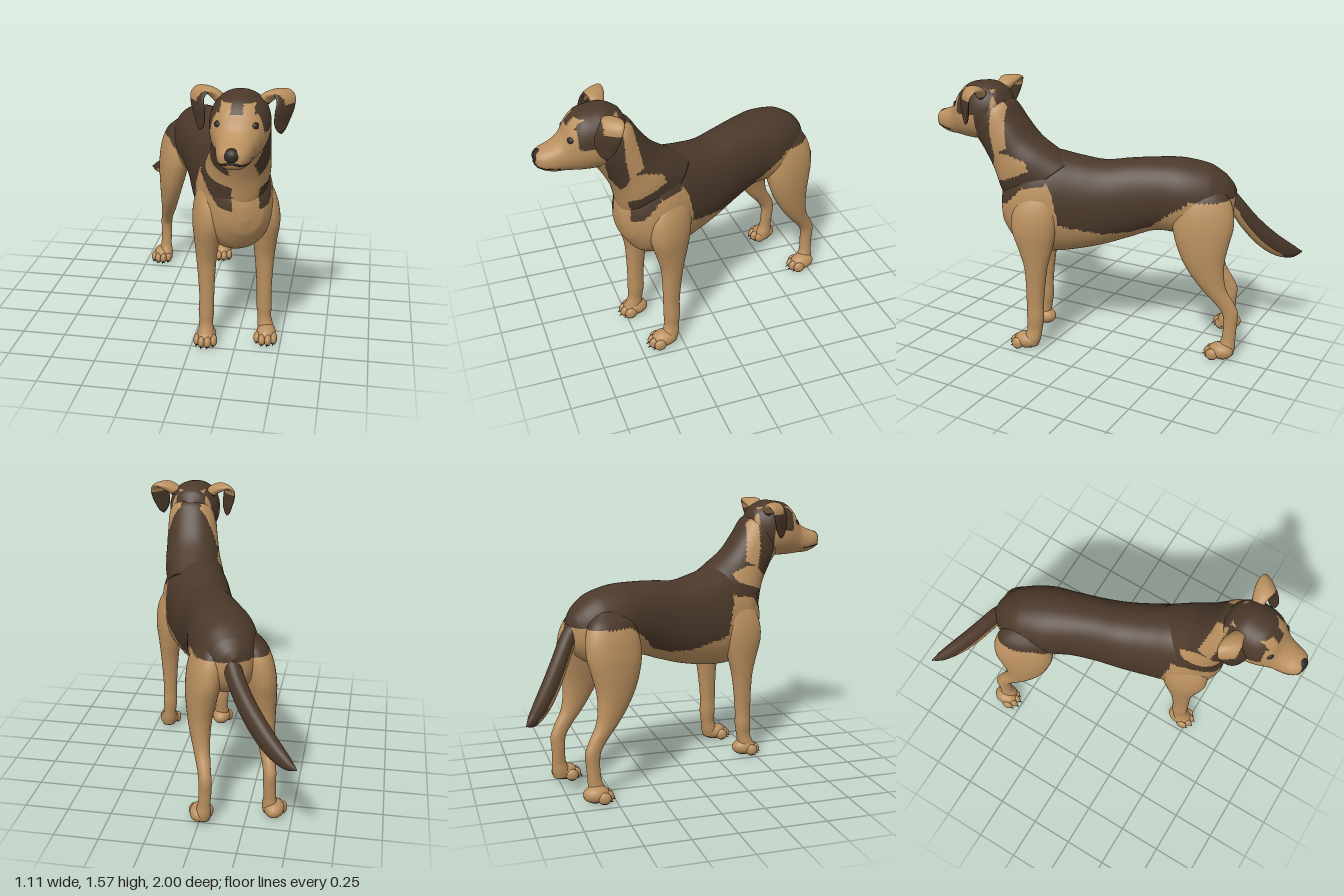
import * as THREE from 'three';

const V3 = (x, y, z) => new THREE.Vector3(x, y, z);
const mat = (name, color) => Object.assign(new THREE.MeshStandardMaterial({ color }), { name });

// Body axes: the trunk stands turned away from the straight-ahead head
const SIDE = V3(0.93, 0, -0.37), FORE = V3(0.37, 0, 0.93), UP = V3(0, 1, 0), X = V3(1, 0, 0);
const bodyPoint = (w, y, f) => [0.09 + 0.93 * w + 0.37 * f, y, -0.37 * w + 0.93 * f];
const HEAD_X = 0.29;

// Loft of rounded sections through rings [x, y, z, halfU, halfV]
function loft(rings, U, V, around, along) {
  const path = new THREE.CatmullRomCurve3(rings.map(r => V3(r[0], r[1], r[2])));
  const size = new THREE.CatmullRomCurve3(rings.map(r => V3(r[3], r[4], 0)), false, 'catmullrom', 0.5);
  const pos = [], idx = [];
  const run = path.getPoint(1).sub(path.getPoint(0));
  const flip = V && V3().crossVectors(U, V).dot(run) < 0 ? -1 : 1;
  const round = c => Math.sign(c) * Math.abs(c) ** 0.92;
  for (let i = 0; i <= along; i++) {
    const t = i / along, c = path.getPoint(t), s = size.getPoint(t);
    const v = V ? V.clone().multiplyScalar(flip) : path.getTangent(t).cross(U).normalize();
    for (let j = 0; j < around; j++) {
      const th = j / around * Math.PI * 2;
      const p = c.clone().addScaledVector(U, Math.max(s.x, 0.002) * round(Math.cos(th)))
        .addScaledVector(v, Math.max(s.y, 0.002) * round(Math.sin(th)));
      pos.push(p.x, p.y, p.z);
    }
  }
  const at = (i, j) => i * around + j % around;
  for (let i = 0; i < along; i++) for (let j = 0; j < around; j++) {
    idx.push(at(i, j), at(i, j + 1), at(i + 1, j + 1), at(i, j), at(i + 1, j + 1), at(i + 1, j));
  }
  const first = pos.length / 3;
  pos.push(...path.getPoint(0).toArray(), ...path.getPoint(1).toArray());
  for (let j = 0; j < around; j++) {
    idx.push(first, at(0, j + 1), at(0, j), first + 1, at(along, j), at(along, j + 1));
  }
  const g = new THREE.BufferGeometry();
  g.setAttribute('position', new THREE.Float32BufferAttribute(pos, 3));
  g.setIndex(idx);
  g.computeVertexNormals();
  return g;
}

// Sorts the faces into two groups: 0 where the rule is false, 1 where true
function paint(g, rule) {
  const p = g.attributes.position, ix = g.index.array, sets = [[], []];
  const a = V3(), b = V3(), c = V3();
  for (let i = 0; i < ix.length; i += 3) {
    [a, b, c].forEach((v, k) => v.fromBufferAttribute(p, ix[i + k]));
    const mid = a.clone().add(b).add(c).divideScalar(3);
    const n = b.clone().sub(a).cross(c.clone().sub(a)).normalize();
    sets[rule(mid, n) ? 1 : 0].push(ix[i], ix[i + 1], ix[i + 2]);
  }
  g.setIndex([...sets[0], ...sets[1]]);
  g.clearGroups();
  g.addGroup(0, sets[0].length, 0);
  g.addGroup(sets[0].length, sets[1].length, 1);
  return g;
}

function inside(poly, x, y) {
  let hit = false;
  for (let i = 0, j = poly.length - 1; i < poly.length; j = i++) {
    const [ax, ay] = poly[i], [bx, by] = poly[j];
    if ((ay > y) !== (by > y) && x < (bx - ax) * (y - ay) / (by - ay) + ax) hit = !hit;
  }
  return hit;
}

// Coat pattern in side profile: dark saddle with tan shoulder patch and neck stripe
const SADDLE = [[-0.95, 0.96], [-0.5, 0.95], [-0.38, 0.86], [-0.3, 0.78], [-0.2, 0.745], [-0.05, 0.735],
  [0.1, 0.77], [0.18, 0.79], [0.2, 0.92], [0.23, 1.03], [0.37, 1.0], [0.46, 0.9], [0.53, 0.87],
  [0.57, 0.92], [0.6, 1.0], [0.62, 1.15], [0.66, 1.3], [0.68, 1.6], [-0.95, 1.6]];
const PATCH = [[0.33, 1.1], [0.34, 1.15], [0.45, 1.19], [0.52, 1.19], [0.56, 1.08], [0.58, 0.95], [0.5, 1.02]];
const STRIPE = [[0.53, 1.18], [0.45, 1.22], [0.48, 1.4], [0.49, 1.49], [0.55, 1.49], [0.55, 1.3]];
function coat(p) {
  const f = (p.x - 0.09) * 0.37 + p.z * 0.93, w = (p.x - 0.09) * 0.93 - p.z * 0.37;
  const k = THREE.MathUtils.smoothstep(p.y, 1.0, 1.2);
  const q = THREE.MathUtils.lerp(0.93 * f - 0.05, p.z, k);
  const d = Math.abs(THREE.MathUtils.lerp(w, p.x - 0.28, k));
  if (q > 0.46 && d < 0.075 && !(p.y > 1.35)) return false;
  return inside(SADDLE, q, p.y) && !(d > 0.06 && (inside(PATCH, q, p.y) || inside(STRIPE, q, p.y)));
}

function headCoat(p) {
  const d = Math.abs(p.x - HEAD_X);
  if (p.z < 0.56) return d < 0.09;
  const brow = d > 0.03 && d < 0.085 ? 1.53 : 1.485;
  return (p.z < 0.83 && p.y > brow) || (d > 0.105 && p.y > 1.39 && p.z < 0.78) || (p.z < 0.65 && d > 0.08);
}

export function createModel() {
  const dog = new THREE.Group();
  dog.name = 'dog';
  const tan = mat('tan fur', 0xba905f), dark = mat('dark brown fur', 0x4b392a), black = mat('nose black', 0x2f2723);
  const add = (name, g, m, parent = dog) => {
    const mesh = new THREE.Mesh(g, m);
    mesh.name = name;
    parent.add(mesh);
    return mesh;
  };
  const fur = [tan, dark];

  // Trunk: [forward, top, bottom, half width]
  const trunk = [[-0.755, 0.98, 0.9, 0.02], [-0.735, 1.02, 0.83, 0.075], [-0.69, 1.07, 0.77, 0.125], [-0.6, 1.125, 0.72, 0.17],
    [-0.45, 1.155, 0.72, 0.19], [-0.3, 1.155, 0.73, 0.175], [-0.15, 1.145, 0.68, 0.17], [0, 1.13, 0.63, 0.18],
    [0.15, 1.155, 0.595, 0.192], [0.3, 1.185, 0.575, 0.205], [0.42, 1.16, 0.585, 0.2], [0.52, 1.08, 0.64, 0.165],
    [0.585, 0.98, 0.74, 0.1], [0.605, 0.9, 0.82, 0.02]]
    .map(([f, top, bot, a]) => [...bodyPoint(0, (top + bot) / 2, f), a, (top - bot) / 2]);
  add('trunk', paint(loft(trunk, SIDE, UP, 72, 150), coat), fur);

  // Neck
  const neck = [[0.21, 0.96, 0.34, 0.185, 0.26], [0.245, 1.07, 0.415, 0.18, 0.204], [0.265, 1.165, 0.475, 0.165, 0.163],
    [0.28, 1.27, 0.54, 0.155, 0.149], [0.29, 1.36, 0.6, 0.145, 0.148], [0.29, 1.42, 0.64, 0.12, 0.11]];
  add('neck', paint(loft(neck, X, V3(0, -0.66, 0.75), 72, 80), coat), fur);

  // Head: [z, top, bottom, half width]
  const head = [[0.5, 1.46, 1.36, 0.04], [0.54, 1.525, 1.28, 0.11], [0.62, 1.565, 1.23, 0.15], [0.7, 1.56, 1.225, 0.153],
    [0.76, 1.545, 1.225, 0.14], [0.81, 1.5, 1.228, 0.117], [0.85, 1.43, 1.232, 0.098], [0.9, 1.39, 1.235, 0.088],
    [0.95, 1.37, 1.25, 0.075], [0.98, 1.355, 1.27, 0.055], [0.99, 1.34, 1.29, 0.02]]
    .map(([z, top, bot, a]) => [HEAD_X, (top + bot) / 2, z, a, (top - bot) / 2]);
  add('head', paint(loft(head, X, UP, 72, 90), headCoat), fur);

  const ball = (rx, ry, rz, x, y, z) => new THREE.SphereGeometry(1, 24, 18).scale(rx, ry, rz).translate(x, y, z);
  add('nose', ball(0.044, 0.04, 0.036, HEAD_X, 1.325, 0.964), black);
  const lips = [[-0.077, 1.27, 0.87], [-0.067, 1.28, 0.94], [-0.042, 1.285, 0.978], [0, 1.295, 0.991],
    [0.042, 1.285, 0.978], [0.067, 1.28, 0.94], [0.077, 1.27, 0.87]].map(([x, y, z]) => V3(HEAD_X + x, y, z));
  add('mouthLine', new THREE.TubeGeometry(new THREE.CatmullRomCurve3(lips), 40, 0.006, 8), black);

  for (const s of [-1, 1]) {
    const tag = s > 0 ? 'left' : 'right';
    add(tag + 'Eye', ball(0.024, 0.021, 0.024, HEAD_X + s * 0.086, 1.43, 0.805), black);

    // Folded ear: rises outward, then the flap drops forward
    const ear = [[0.1, 1.5, 0.62, 0.045, 0.03], [0.155, 1.54, 0.612, 0.058, 0.024], [0.2, 1.55, 0.62, 0.064, 0.017],
      [0.222, 1.525, 0.637, 0.068, 0.014], [0.218, 1.47, 0.655, 0.07, 0.013], [0.207, 1.41, 0.663, 0.055, 0.011],
      [0.205, 1.37, 0.665, 0.03, 0.009], [0.205, 1.352, 0.665, 0.004, 0.004]]
      .map(([x, ...r]) => [HEAD_X + s * x, ...r]);
    const flap = p => p.y < 1.5 || p.z > 0.67;
    add(tag + 'Ear', paint(loft(ear, V3(s * 0.6, 0, -0.8), null, 32, 50), flap), fur);

    // Legs: [height, sideways, forward, half width, half depth]
    const leg = (rows, shift) => paint(loft(rows.map(([y, w, f, a, b]) =>
      [...bodyPoint(s * w + shift, y, f), a, b]), SIDE, FORE, 40, 90), coat);
    add(tag + 'FrontLeg', leg([[0.99, 0.12, 0.35, 0.03, 0.05], [0.95, 0.135, 0.36, 0.06, 0.1], [0.86, 0.155, 0.38, 0.075, 0.13],
      [0.75, 0.165, 0.39, 0.078, 0.128], [0.62, 0.167, 0.385, 0.065, 0.095], [0.52, 0.168, 0.385, 0.055, 0.068],
      [0.4, 0.168, 0.39, 0.046, 0.056], [0.28, 0.168, 0.395, 0.041, 0.05], [0.2, 0.17, 0.395, 0.043, 0.05],
      [0.13, 0.172, 0.4, 0.038, 0.045], [0.07, 0.176, 0.415, 0.045, 0.05], [0.025, 0.178, 0.425, 0.04, 0.045]], 0), fur);
    add(tag + 'HindLeg', leg([[1.04, 0.09, -0.56, 0.04, 0.07], [0.98, 0.115, -0.565, 0.075, 0.135], [0.9, 0.135, -0.57, 0.088, 0.165],
      [0.8, 0.152, -0.57, 0.09, 0.172], [0.7, 0.165, -0.57, 0.082, 0.15], [0.6, 0.175, -0.58, 0.068, 0.12],
      [0.5, 0.18, -0.61, 0.055, 0.09], [0.42, 0.18, -0.65, 0.045, 0.068], [0.34, 0.18, -0.71, 0.037, 0.055],
      [0.28, 0.18, -0.743, 0.035, 0.046], [0.2, 0.18, -0.745, 0.034, 0.039], [0.12, 0.185, -0.74, 0.034, 0.04],
      [0.07, 0.188, -0.73, 0.042, 0.05], [0.025, 0.19, -0.725, 0.04, 0.045]], -0.02), fur);
  }

  // Paws with toes, claws and dark soles
  const sole = (p, n) => p.y < 0.02 && n.y < -0.5;
  const paws = { leftFrontPaw: [0.415, 0.365], rightFrontPaw: [0.08, 0.445], leftHindPaw: [0.0, -0.71], rightHindPaw: [-0.4, -0.605] };
  for (const [name, [x, z]] of Object.entries(paws)) {
    const paw = new THREE.Group();
    paw.name = name;
    paw.position.set(x, 0, z);
    dog.add(paw);
    add('pawBase', paint(ball(0.056, 0.05, 0.075, 0, 0.05, -0.005), sole), fur, paw);
    for (const [dx, dz] of [[-0.047, 0.033], [-0.017, 0.056], [0.017, 0.056], [0.047, 0.033]]) {
      add('toe', paint(ball(0.021, 0.035, 0.036, dx, 0.035, dz), sole), fur, paw);
      const claw = new THREE.ConeGeometry(0.008, 0.03, 8).rotateX(Math.PI * 0.62).translate(dx, 0.018, dz + 0.034);
      add('claw', claw, black, paw);
    }
  }

  // Tail: dark above and at the tip, tan feathering below
  const tail = [[-0.13, 1.01, -0.6, 0.05, 0.06], [-0.185, 0.89, -0.7, 0.046, 0.05], [-0.25, 0.775, -0.765, 0.045, 0.055],
    [-0.33, 0.67, -0.83, 0.045, 0.06], [-0.42, 0.585, -0.9, 0.04, 0.055], [-0.5, 0.54, -0.96, 0.026, 0.035],
    [-0.55, 0.53, -0.998, 0.003, 0.003]];
  const tailTop = (p, n) => p.z < -0.93 || n.dot(V3(-0.5, 0.6, -0.62)) > -0.2;
  add('tail', paint(loft(tail, V3(0.62, 0, -0.78), null, 36, 70), tailTop), fur);
  return dog;
}
